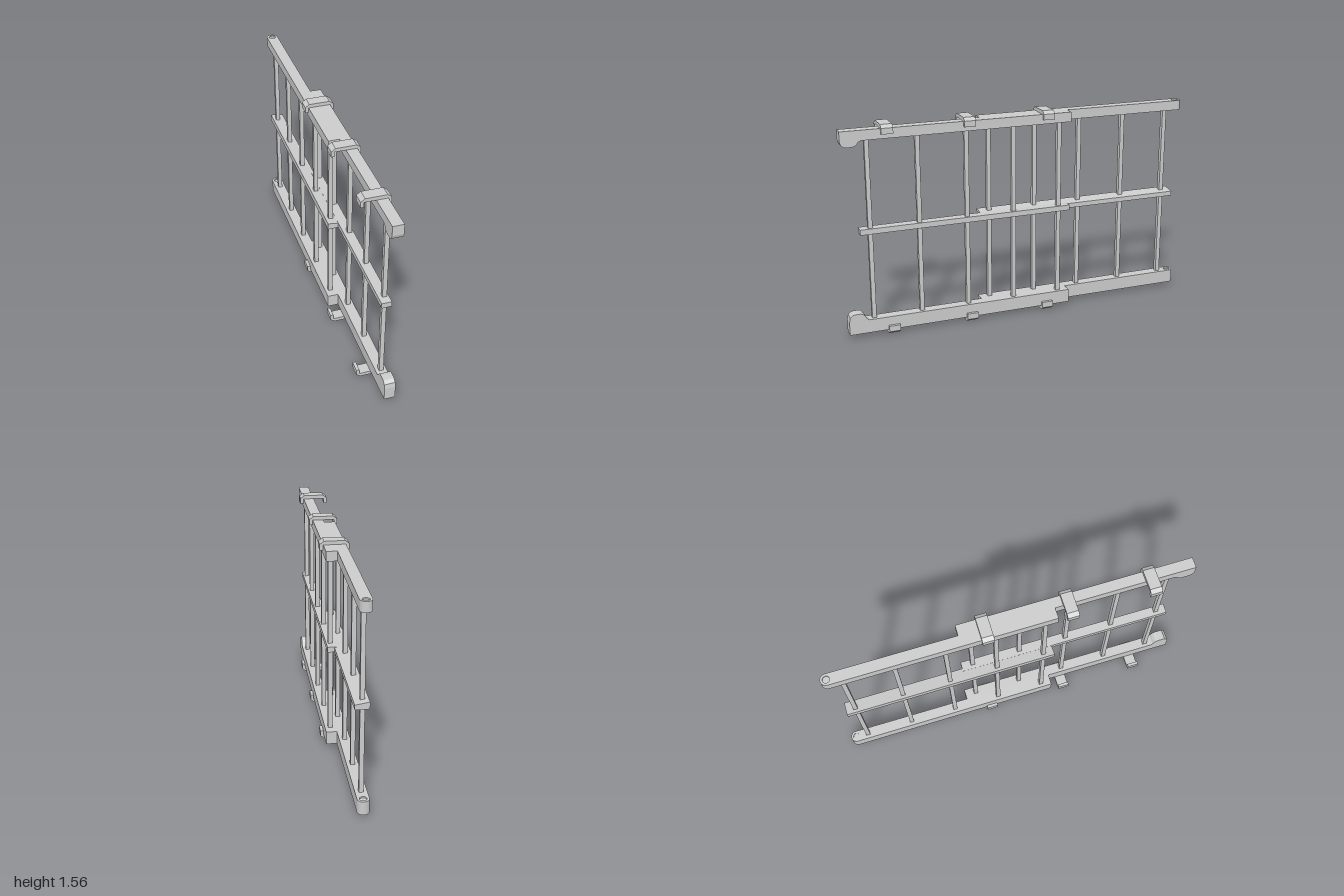
import * as THREE from 'three';

// Sliding gate: built along x (length) and z (thickness), then turned 45 degrees.
const mat = new THREE.MeshStandardMaterial({ color: 0xcccccc, flatShading: true });
const TOP = [1.46, 1.533], BOTTOM = [0.13, 0.03]; // rail heights: inner, outer

const shapeOf = pts => new THREE.Shape(pts.map(p => new THREE.Vector2(p[0], p[1])));
const extrude = (shape, depth) =>
  new THREE.ExtrudeGeometry(shape, { depth, bevelEnabled: false, curveSegments: 10 });

function add(parent, name, geo) {
  const mesh = new THREE.Mesh(geo, mat);
  mesh.name = name;
  parent.add(mesh);
  return mesh;
}

function box(parent, name, x0, x1, y0, y1, z0, z1) {
  const m = add(parent, name, new THREE.BoxGeometry(x1 - x0, y1 - y0, z1 - z0));
  m.position.set((x0 + x1) / 2, (y0 + y1) / 2, (z0 + z1) / 2);
  return m;
}

// Cross-section given as [z, y], swept along x
function sweepX(parent, name, pts, x0, x1) {
  const geo = extrude(shapeOf(pts.map(([z, y]) => [-z, y])), x1 - x0);
  geo.rotateY(Math.PI / 2).translate(x0, 0, 0);
  return add(parent, name, geo);
}

function uprights(parent, first, z) {
  for (let i = 0; i < 5; i++) {
    const x = first + i * 0.361;
    box(parent, 'upright', x - 0.016, x + 0.016, 0.12, 1.47, z - 0.016, z + 0.016);
  }
}

// Rail with a rounded hinge eye at its far end
function hingeRail(parent, name, [inner, outer]) {
  const y0 = Math.min(inner, outer), h = Math.abs(outer - inner);
  const cx = -1.312, cy = -0.04, r = 0.042;
  const s = new THREE.Shape();
  s.moveTo(0.304, cy - 0.04);
  s.lineTo(0.304, cy + 0.04);
  s.lineTo(cx, cy + r);
  s.absarc(cx, cy, r, Math.PI / 2, Math.PI * 1.5, false);
  s.closePath();
  const hole = new THREE.Path();
  hole.absarc(cx, cy, 0.025, 0, Math.PI * 2, true);
  s.holes.push(hole);
  add(parent, name, extrude(s, h).rotateX(-Math.PI / 2).translate(0, y0, 0));
  const pin = add(parent, 'hingePin', new THREE.CylinderGeometry(0.025, 0.025, h - 0.02, 20));
  pin.position.set(cx, y0 + h / 2, -cy);
}

// Rail with a rounded stop bump on its inner side at the closing end
function stopRail(parent, name, [inner, outer]) {
  const d = Math.sign(inner - outer) * (inner > 1 ? 0.042 : 0.055);
  const pts = [[-0.386, outer], [1.333, outer], [1.333, inner], [1.325, inner + d * 0.6],
    [1.303, inner + d * 0.95], [1.285, inner + d], [1.25, inner + d], [1.23, inner + d * 0.9],
    [1.215, inner + d * 0.6], [1.203, inner + d * 0.2], [1.185, inner], [-0.386, inner]];
  add(parent, name, extrude(shapeOf(pts), 0.08).translate(0, 0, -0.08));
}

export function createModel() {
  const model = new THREE.Group();
  model.name = 'slidingGate';
  model.rotation.y = -Math.PI / 4;

  // Front panel, hinged at its far end
  const front = new THREE.Group();
  front.name = 'hingedPanel';
  hingeRail(front, 'topRail', TOP);
  hingeRail(front, 'bottomRail', BOTTOM);
  sweepX(front, 'middleRail',
    [[0.08, 0.775], [0.08, 0.825], [-0.02, 0.81], [-0.02, 0.775]], -1.29, 0.304);
  uprights(front, -1.219, 0.04);

  // Rear panel that slides behind it
  const rear = new THREE.Group();
  rear.name = 'slidingPanel';
  stopRail(rear, 'topRail', TOP);
  stopRail(rear, 'bottomRail', BOTTOM);
  box(rear, 'middleRail', -0.386, 1.22, 0.775, 0.815, -0.07, 0.003);
  uprights(rear, -0.301, -0.04);

  // Clips hugging both rails, top and bottom
  const half = [[0.082, 1.495], [0.105, 1.495], [0.105, 1.538], [0.075, 1.56]];
  const section = [[0.082, 1.533], ...half,
    ...half.map(([z, y]) => [-z, y]).reverse(), [-0.082, 1.533]];
  const clips = new THREE.Group();
  clips.name = 'clips';
  for (const x of [-0.2, 0.405, 1.005]) {
    sweepX(clips, 'topClip', section, x - 0.0425, x + 0.0425);
    sweepX(clips, 'bottomClip', section.map(([z, y]) => [z, 1.56 - y]), x - 0.0425, x + 0.0425);
  }

  model.add(front, rear, clips);
  const root = new THREE.Group();
  root.name = 'gate';
  root.add(model);
  return root;
}
